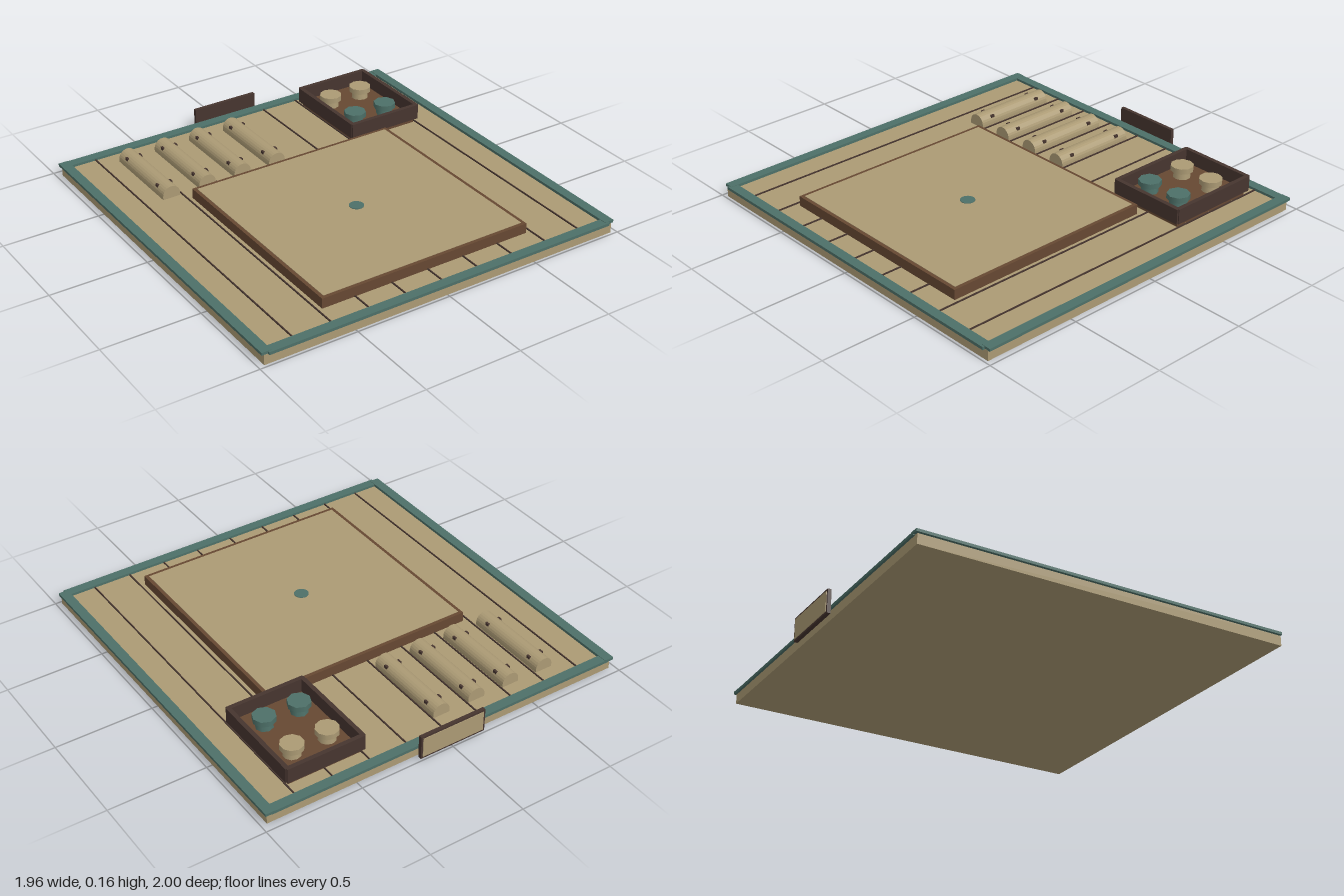
import * as THREE from 'three';

const mat = (name, color) => new THREE.MeshStandardMaterial({ name, color });

export function createModel() {
  const model = new THREE.Group();
  model.name = 'gameMat';
  const tan = mat('tan', 0xab9a74), teal = mat('teal', 0x4d7068);
  const brown = mat('brown', 0x664832), dark = mat('dark brown', 0x46352f);

  const add = (name, geometry, material, x, y, z, parent = model) => {
    const m = new THREE.Mesh(geometry, material);
    m.name = name;
    m.position.set(x, y, z);
    parent.add(m);
    return m;
  };
  // Box given by its limits on each axis
  const box = (name, material, [x0, x1], [y0, y1], [z0, z1], parent) =>
    add(name, new THREE.BoxGeometry(x1 - x0, y1 - y0, z1 - z0), material,
      (x0 + x1) / 2, (y0 + y1) / 2, (z0 + z1) / 2, parent);

  // Floor slab with thin seams between planks
  box('floor', tan, [-0.97, 0.97], [0, 0.052], [-0.957, 0.985]);
  for (let i = -4; i <= 4; i++) {
    const x = i * 0.2;
    box('plankSeam', dark, [x - 0.003, x + 0.003], [0.045, 0.058], [-0.925, 0.945]);
  }

  // Raised trim around the floor
  for (const s of [-1, 1]) {
    box('sideTrim', teal, [s * 0.957 - 0.025, s * 0.957 + 0.025], [0.053, 0.067], [-0.968, 0.985]);
    const z = 0.014 + s * 0.957;
    box('endTrim', teal, [-0.95, 0.95], [0.05, 0.065], [z - 0.025, z + 0.025]);
  }

  // Central board with inlaid top and centre spot
  box('board', brown, [-0.575, 0.575], [0.05, 0.104], [-0.32, 0.83]);
  box('boardTop', tan, [-0.557, 0.557], [0.1, 0.106], [-0.302, 0.812]);
  add('centreSpot', new THREE.CylinderGeometry(0.037, 0.037, 0.004, 16), teal, 0, 0.107, 0.255);

  // Row of half-round sticks with small pegs
  const profile = new THREE.Shape();
  profile.moveTo(-0.047, -0.018);
  profile.lineTo(0.047, -0.018);
  profile.absarc(0, 0, 0.047, 0, Math.PI, false);
  profile.closePath();
  const stickGeo = new THREE.ExtrudeGeometry(profile, { depth: 0.46, bevelEnabled: false, curveSegments: 6 });
  for (let i = 0; i < 4; i++) {
    const stick = new THREE.Group();
    stick.name = 'throwingStick';
    stick.position.set(-0.658 + i * 0.202, 0.068, -0.84);
    model.add(stick);
    add('stickBody', stickGeo, tan, 0, 0, 0, stick);
    for (const s of [-1, 1]) for (const z of [0.07, 0.385])
      add('stickPeg', new THREE.BoxGeometry(0.012, 0.014, 0.022), dark, s * 0.036, 0.028, z, stick);
  }

  // Tray: floor and four walls
  const tray = new THREE.Group();
  tray.name = 'tray';
  model.add(tray);
  box('trayFloor', brown, [0.405, 0.79], [0.05, 0.085], [-0.845, -0.37], tray);
  for (const [a, b] of [[0.387, 0.409], [0.787, 0.809]])
    box('traySide', dark, [a, b], [0.078, 0.157], [-0.857, -0.358], tray);
  for (const [a, b] of [[-0.866, -0.844], [-0.372, -0.35]])
    box('trayEnd', dark, [0.392, 0.804], [0.078, 0.157], [a, b], tray);

  // Playing pieces: narrow stem below a wide cap
  for (const [z, m, sides] of [[-0.717, tan, 10], [-0.487, teal, 8]])
    for (const x of [0.497, 0.685]) {
      const piece = new THREE.Group();
      piece.name = 'playingPiece';
      piece.position.set(x, 0.08, z);
      model.add(piece);
      add('pieceStem', new THREE.CylinderGeometry(0.04, 0.045, 0.045, sides), m, 0, 0.0225, 0, piece);
      add('pieceCap', new THREE.CylinderGeometry(0.058, 0.058, 0.028, sides), m, 0, 0.056, 0, piece);
    }

  // Plaque behind the rear edge
  box('plaque', dark, [-0.18, 0.18], [0.01, 0.134], [-0.997, -0.978]);
  box('plaquePanel', tan, [-0.17, 0.17], [0.02, 0.124], [-1, -0.996]);

  return model;
}
